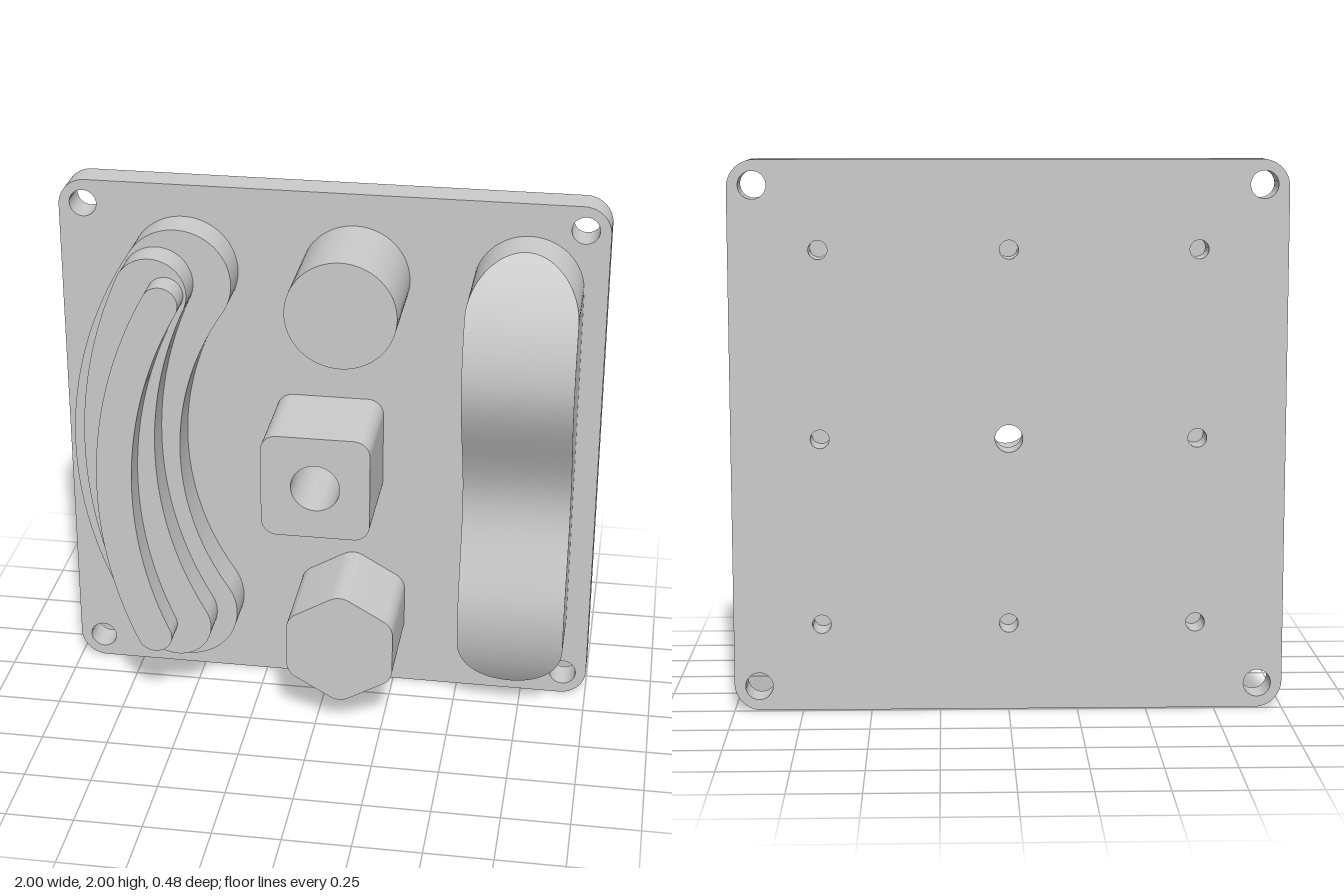
import * as THREE from 'three';
import { toCreasedNormals } from 'three/addons/utils/BufferGeometryUtils.js';

const FACE = -0.12; // front of the base plate
const TOP = 0.24;   // front of the tallest bosses

export function createModel() {
  const group = new THREE.Group();
  const material = new THREE.MeshStandardMaterial({ color: 0xcccccc });

  const add = (name, geometry) => {
    const mesh = new THREE.Mesh(geometry, material);
    mesh.name = name;
    group.add(mesh);
  };

  // Extrude a front outline between two depths, keeping the rims sharp
  const prism = (name, shape, z0, z1) => {
    const g = new THREE.ExtrudeGeometry(shape, { depth: z1 - z0, bevelEnabled: false, curveSegments: 32 });
    g.translate(0, 0, z0);
    add(name, toCreasedNormals(g, 0.5));
  };

  // Regular polygon with rounded corners; apothem = centre to flat
  const roundedPolygon = (x, y, sides, apothem, r, start) => {
    const s = new THREE.Shape();
    const half = Math.PI / sides;
    const reach = (apothem - r) / Math.cos(half);
    for (let i = 0; i < sides; i++) {
      const a = start + 2 * half * i;
      s.absarc(x + reach * Math.cos(a), y + reach * Math.sin(a), r, a - half, a + half, false);
    }
    s.closePath();
    return s;
  };

  const drill = (shape, x, y, r) => {
    shape.holes.push(new THREE.Path().absarc(x, y, r, 0, Math.PI * 2, true));
  };

  // Curved slot outline from top end to bottom end, bowed towards -x
  const curvedSlot = (top, bottom, sag, r) => {
    const half = Math.hypot(bottom[0] - top[0], bottom[1] - top[1]) / 2;
    const R = (half * half + sag * sag) / (2 * sag);
    const k = (R - sag) / (2 * half);
    const cx = (top[0] + bottom[0]) / 2 + k * (top[1] - bottom[1]);
    const cy = (top[1] + bottom[1]) / 2 + k * (bottom[0] - top[0]);
    const a = Math.atan2(top[1] - cy, top[0] - cx);
    const b = Math.atan2(bottom[1] - cy, bottom[0] - cx) + 2 * Math.PI;
    const s = new THREE.Shape();
    s.absarc(cx, cy, R + r, a, b, false);
    s.absarc(bottom[0], bottom[1], r, b, b + Math.PI, false);
    s.absarc(cx, cy, R - r, b, a, true);
    s.absarc(top[0], top[1], r, a + Math.PI, a + 2 * Math.PI, false);
    return s;
  };

  // Base plate with corner holes, centre hole and a grid of small rear holes
  const plate = roundedPolygon(0, 1, 4, 1, 0.1, Math.PI / 4);
  for (const i of [-1, 0, 1]) {
    for (const j of [-1, 0, 1]) {
      drill(plate, 0.68 * i, 1 + 0.68 * j, i || j ? 0.034 : 0.05);
      if (i && j) drill(plate, 0.91 * i, 1 + 0.91 * j, 0.05);
    }
  }
  prism('basePlate', plate, -0.24, FACE);

  // Three stacked curved steps
  prism('curvedStepLower', curvedSlot([-0.54, 1.68], [-0.54, 0.325], 0.205, 0.2), FACE, 0.02);
  prism('curvedStepMiddle', curvedSlot([-0.61, 1.68], [-0.55, 0.325], 0.163, 0.132), 0.02, 0.14);
  prism('curvedStepUpper', curvedSlot([-0.555, 1.68], [-0.615, 0.325], 0.16, 0.066), 0.14, TOP);

  // Round, square and hexagonal bosses
  const round = new THREE.Shape().absarc(0.09, 1.68, 0.2, 0, Math.PI * 2, false);
  prism('roundBoss', round, FACE, TOP);

  const square = roundedPolygon(0, 1, 4, 0.2, 0.06, Math.PI / 4);
  drill(square, 0, 1, 0.09);
  prism('squareBoss', square, FACE, TOP);

  prism('hexagonBoss', roundedPolygon(0.09, 0.33, 6, 0.2, 0.07, Math.PI / 2), FACE, TOP);

  // Wavy ridge: height along y has a low crest, a valley and a high crest
  const blend = (y, y0, z0, y1, z1) => z0 + (z1 - z0) * (1 - Math.cos(Math.PI * (y - y0) / (y1 - y0))) / 2;
  const dome = (d, z, R) => z - R + Math.sqrt(R * R - d * d);
  const ridgeHeight = (y) => {
    if (y < 0.45) return dome(0.45 - y, 0.125, 0.6);
    if (y < 0.87) return blend(y, 0.45, 0.125, 0.87, 0.047);
    if (y < 1.46) return blend(y, 0.87, 0.047, 1.46, TOP);
    return dome(y - 1.46, TOP, 0.53);
  };

  // Rows of the box become the rows of a round-ended bar
  const CAP = 20, MID = 60, ROWS = MID + 2 * CAP;
  const lowEnd = 0.325, highEnd = 1.68, radius = 0.198;
  const ridge = new THREE.BoxGeometry(1, 1, 1, 1, ROWS, 1);
  const p = ridge.attributes.position;
  for (let v = 0; v < p.count; v++) {
    const row = Math.round((p.getY(v) + 0.5) * ROWS);
    const fromEnd = Math.min(row, ROWS - row, CAP);
    const angle = (fromEnd / CAP) * Math.PI / 2;
    const bulge = radius * Math.cos(angle);
    let y = lowEnd + (highEnd - lowEnd) * (row - CAP) / MID;
    if (row < CAP) y = lowEnd - bulge;
    if (row > ROWS - CAP) y = highEnd + bulge;
    const x = 0.716 + Math.sign(p.getX(v)) * radius * Math.sin(angle);
    p.setXYZ(v, x, y, p.getZ(v) > 0 ? ridgeHeight(y) : FACE);
  }
  ridge.computeVertexNormals();
  add('wavyRidge', ridge);

  return group;
}
